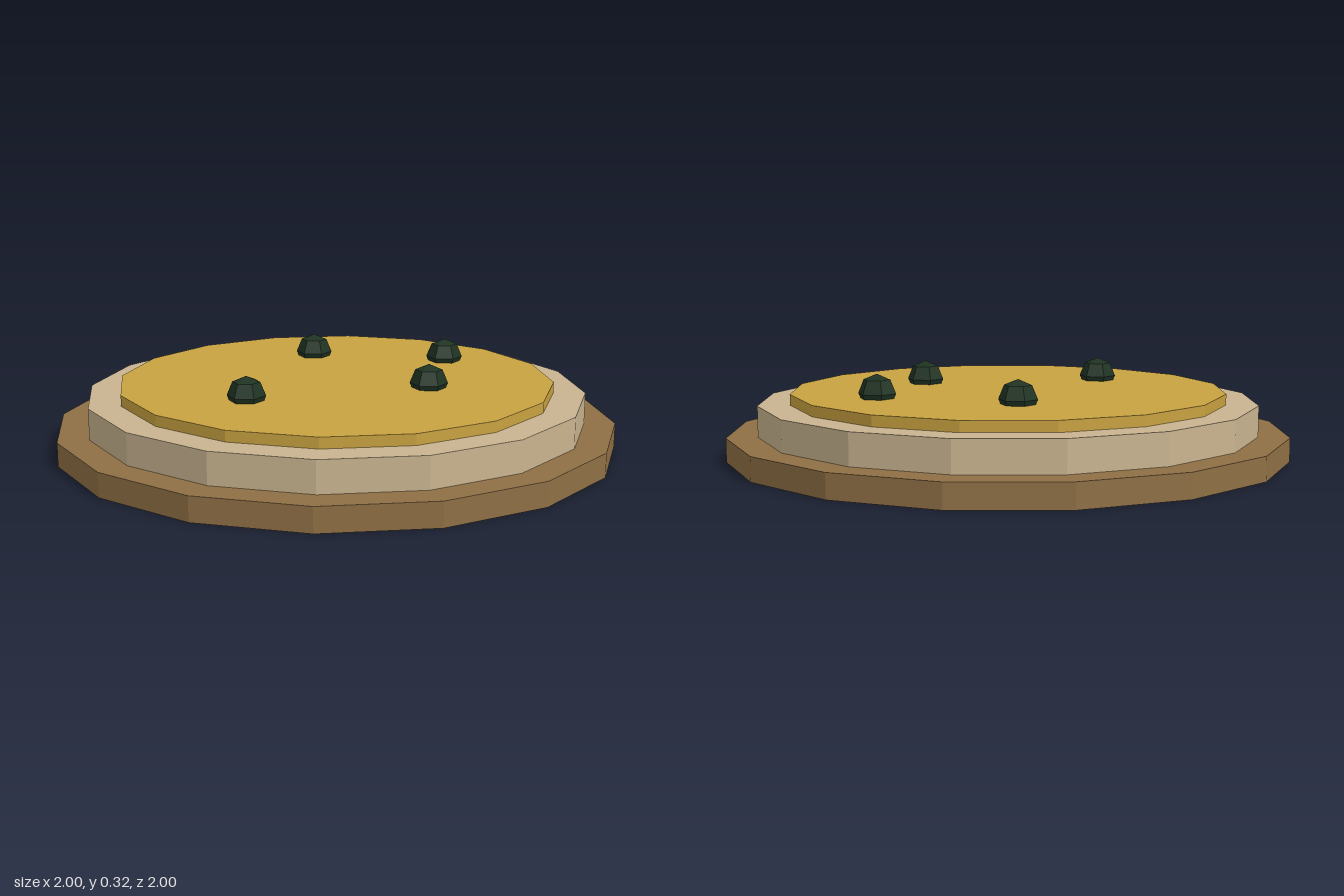
import * as THREE from 'three';

const flat = (name, color) => {
  const m = new THREE.MeshStandardMaterial({ color, flatShading: true });
  m.name = name;
  return m;
};

export function createModel() {
  const group = new THREE.Group();
  group.name = 'toppedFlatbread';

  const wood = flat('wood', 0x8f6f45);
  const crust = flat('crust', 0xc9b48f);
  const topping = flat('topping', 0xc8a240);
  const olive = flat('olive', 0x1f3322);

  // Stacked sixteen-sided discs
  const disc = (name, radius, bottom, top, material) => {
    const mesh = new THREE.Mesh(
      new THREE.CylinderGeometry(radius, radius, top - bottom, 16), material);
    mesh.name = name;
    mesh.position.y = (bottom + top) / 2;
    group.add(mesh);
  };
  disc('board', 1, 0, 0.085, wood);
  disc('breadBase', 0.89, 0.085, 0.195, crust);
  disc('spread', 0.777, 0.195, 0.233, topping);

  // Olives half sunk into the spread
  const oliveGeometry = new THREE.SphereGeometry(0.067, 6, 4);
  [[-0.11, -0.39], [0.39, -0.335], [0.333, 0.108], [-0.28, 0.333]].forEach(([x, z], i) => {
    const mesh = new THREE.Mesh(oliveGeometry, olive);
    mesh.name = `olive${i + 1}`;
    mesh.position.set(x, 0.25, z);
    group.add(mesh);
  });

  return group;
}
